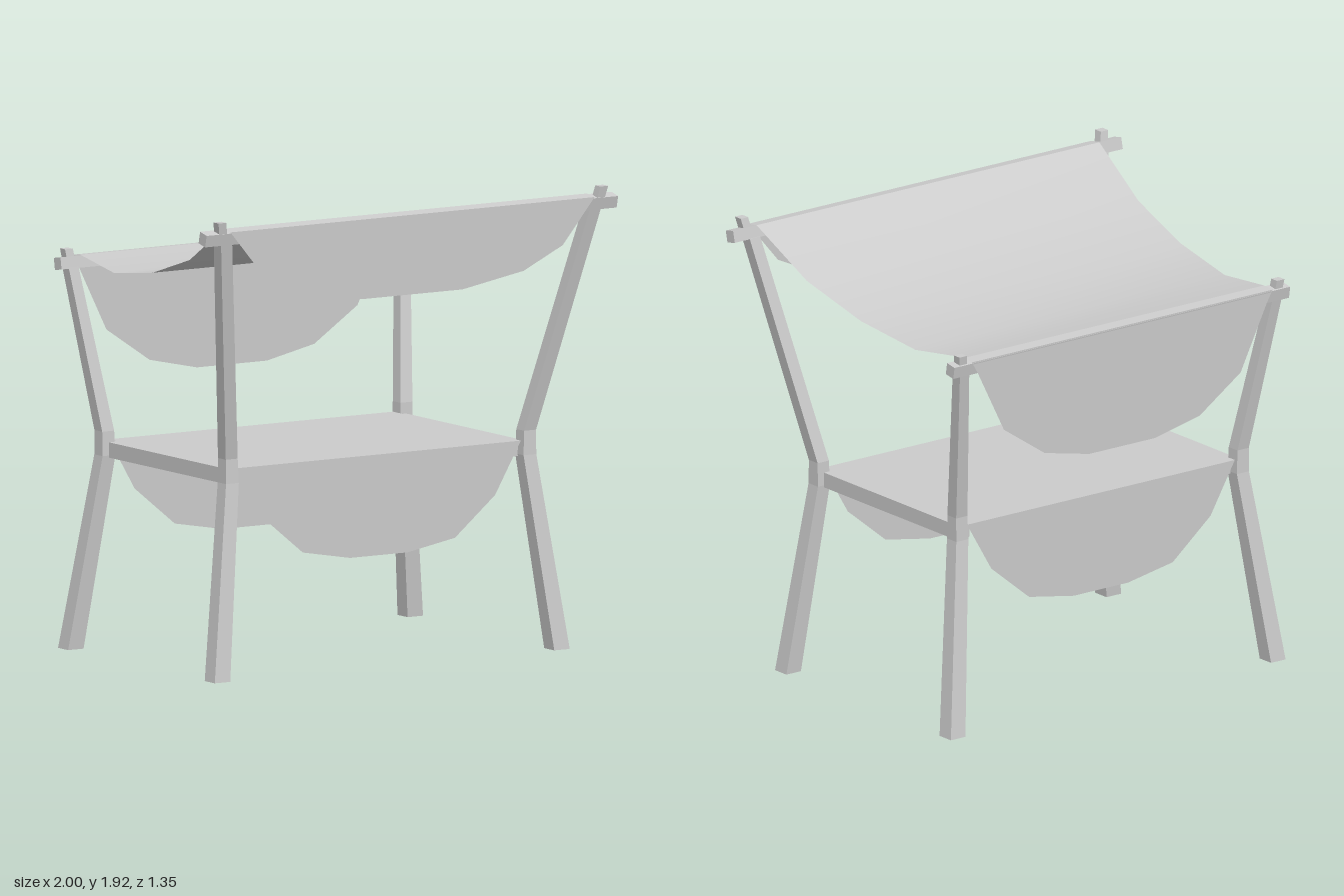
import * as THREE from 'three';

const wood = new THREE.MeshStandardMaterial({ color: 0xcccccc, flatShading: true });
const cloth = new THREE.MeshStandardMaterial({ color: 0xcccccc, side: THREE.DoubleSide });

function add(parent, name, geometry, material) {
  const mesh = new THREE.Mesh(geometry, material);
  mesh.name = name;
  parent.add(mesh);
  return mesh;
}

// Square-section beam through rings of [x, y, z, width]; side mirrors x
function post(rings, side) {
  const n = rings.length - 1;
  const geo = new THREE.BoxGeometry(1, n, 1, 1, n, 1);
  const p = geo.attributes.position;
  for (let i = 0; i < p.count; i++) {
    const [x, y, z, w] = rings[Math.round(p.getY(i) + n / 2)];
    p.setXYZ(i, side * x + p.getX(i) * w, y, z + p.getZ(i) * w);
  }
  geo.computeVertexNormals();
  return geo;
}

// Cloth strip through rows of [halfWidth, y, z], running front to back
function sheet(rows) {
  const n = rows.length - 1;
  const geo = new THREE.PlaneGeometry(2, n, 1, n);
  const p = geo.attributes.position;
  for (let i = 0; i < p.count; i++) {
    const [w, y, z] = rows[Math.round(p.getY(i) + n / 2)];
    p.setXYZ(i, p.getX(i) * w, y, z);
  }
  geo.computeVertexNormals();
  return geo;
}

// Hanging flap, given the right half of its outline from top to bottom
function flap(half, z) {
  const points = half.concat(half.map(([x, y]) => [-x, y]).reverse());
  const geo = new THREE.ShapeGeometry(new THREE.Shape(points.map(([x, y]) => new THREE.Vector2(x, y))));
  return geo.translate(0, 0, z);
}

export function createModel() {
  const model = new THREE.Group();

  // Bent legs, pegs and side rails
  for (const side of [1, -1]) {
    const s = side > 0 ? 'left' : 'right';
    add(model, s + 'FrontPost', post([
      [0.825, 0, 0.482, 0.075], [0.723, 0.8, 0.406, 0.062],
      [0.725, 0.9, 0.406, 0.058], [0.898, 1.835, 0.634, 0.054],
    ], side), wood);
    add(model, s + 'BackPost', post([
      [0.825, 0, -0.607, 0.075], [0.723, 0.8, -0.51, 0.062],
      [0.725, 0.9, -0.511, 0.058], [0.806, 1.565, -0.639, 0.048],
    ], side), wood);
    add(model, s + 'FrontPeg', post([
      [0.91, 1.83, 0.64, 0.038], [0.928, 1.917, 0.657, 0.038],
    ], side), wood);
    add(model, s + 'BackPeg', post([
      [0.808, 1.56, -0.639, 0.038], [0.818, 1.638, -0.65, 0.038],
    ], side), wood);
    const rail = add(model, s + 'SideRail', new THREE.BoxGeometry(0.07, 0.063, 0.89), wood);
    rail.position.set(side * 0.687, 0.8225, -0.052);
  }

  // Crossbars leaning with the posts
  const frontBar = add(model, 'frontCrossbar', new THREE.BoxGeometry(2, 0.05, 0.05), wood);
  frontBar.position.set(0, 1.851, 0.639);
  frontBar.rotation.x = 0.23;
  const backBar = add(model, 'backCrossbar', new THREE.BoxGeometry(1.73, 0.05, 0.05), wood);
  backBar.position.set(0, 1.58, -0.643);
  backBar.rotation.x = -0.17;

  // Sagging upper cloth
  const upper = new THREE.Group();
  upper.name = 'upperCloth';
  model.add(upper);
  add(upper, 'sling', sheet([
    [0.883, 1.883, 0.615], [0.854, 1.715, 0.32], [0.825, 1.62, 0],
    [0.797, 1.575, -0.325], [0.77, 1.612, -0.62],
  ]), cloth);
  add(upper, 'frontFold', sheet([[0.885, 1.875, 0.67], [0.883, 1.883, 0.615]]), cloth);
  add(upper, 'backFold', sheet([[0.77, 1.612, -0.62], [0.775, 1.606, -0.671]]), cloth);
  add(upper, 'frontFlap', flap([[0.885, 1.875], [0.73, 1.69], [0.54, 1.6], [0.243, 1.548]], 0.67), cloth);
  add(upper, 'backFlap', flap([[0.775, 1.606], [0.745, 1.555], [0.61, 1.285], [0.4, 1.143], [0.17, 1.093]], -0.671), cloth);

  // Flat lower cloth with matching flaps
  const lower = new THREE.Group();
  lower.name = 'lowerCloth';
  model.add(lower);
  const scallop = [[0.69, 0.858], [0.565, 0.645], [0.37, 0.485], [0.14, 0.444]];
  add(lower, 'shelf', sheet([[0.69, 0.858, 0.42], [0.69, 0.858, -0.53]]), cloth);
  add(lower, 'frontFlap', flap(scallop, 0.42), cloth);
  add(lower, 'backFlap', flap(scallop, -0.53), cloth);

  return model;
}
